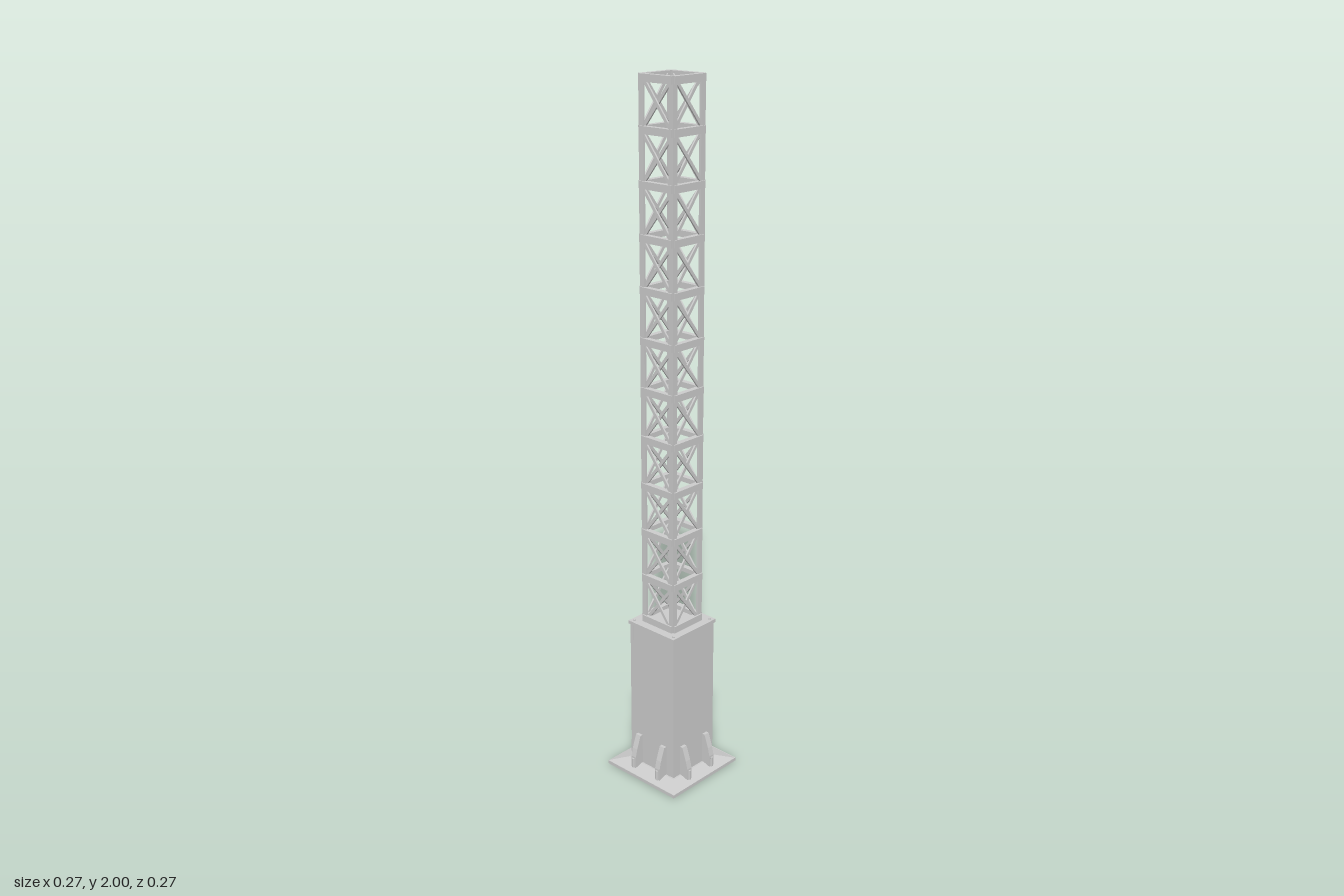
import * as THREE from 'three';

const mat = new THREE.MeshStandardMaterial({ color: 0xcccccc, flatShading: true });

function add(parent, name, geo, x = 0, y = 0, z = 0) {
  const m = new THREE.Mesh(geo, mat);
  m.name = name;
  m.position.set(x, y, z);
  parent.add(m);
  return m;
}

function box(parent, name, w, h, d, x, y, z) {
  return add(parent, name, new THREE.BoxGeometry(w, h, d), x, y, z);
}

// Extrudes a closed outline by a depth along z
function extrude(points, depth) {
  const shape = new THREE.Shape(points.map(([x, y]) => new THREE.Vector2(x, y)));
  return new THREE.ExtrudeGeometry(shape, { depth, bevelEnabled: false });
}

// Runs a builder once for each of the four sides, built facing +z
function fourSides(parent, name, build) {
  for (let i = 0; i < 4; i++) {
    const side = new THREE.Group();
    side.name = name + (i + 1);
    side.rotation.y = i * Math.PI / 2;
    build(side);
    parent.add(side);
  }
}

export function createModel() {
  const model = new THREE.Group();
  model.name = 'latticeTower';

  // Ground plate with a shallow sloping top
  const base = new THREE.Group();
  base.name = 'base';
  model.add(base);
  box(base, 'basePlate', 0.266, 0.01, 0.27, 0, 0.005, 0);
  const slope = new THREE.CylinderGeometry(0.09 * Math.SQRT2, 0.133 * Math.SQRT2, 0.012, 4);
  slope.rotateY(Math.PI / 4);
  add(base, 'baseSlope', slope, 0, 0.016, 0);

  // Pedestal: four overlapping panels and two gussets on each side
  const pedestal = new THREE.Group();
  pedestal.name = 'pedestal';
  model.add(pedestal);
  const gusset = extrude([[0.08, 0.012], [0.115, 0.012], [0.114, 0.05], [0.108, 0.075], [0.094, 0.115], [0.08, 0.115]], 0.018);
  gusset.translate(0, 0, -0.009);
  gusset.rotateY(-Math.PI / 2);
  fourSides(pedestal, 'pedestalSide', side => {
    box(side, 'panel', 0.157, 0.45, 0.012, -0.0055, 0.24, 0.079);
    for (const x of [-0.048, 0.048]) {
      add(side, 'gusset', gusset, x, 0, 0);
      const anchor = new THREE.CylinderGeometry(0.004, 0.004, 0.03, 8);
      add(side, 'anchorBolt', anchor, x, 0.03, 0.115);
    }
    add(side, 'capBolt', new THREE.CylinderGeometry(0.004, 0.004, 0.01, 8), -0.076, 0.473, 0.077);
  });
  box(pedestal, 'capPlate', 0.176, 0.01, 0.178, 0, 0.47, 0);
  for (const s of [-1, 1]) box(pedestal, 'capTab', 0.006, 0.05, 0.006, -s * 0.075, 0.442, s * 0.085);

  // Mast: angle legs, horizontal frames and crossed braces
  const mast = new THREE.Group();
  mast.name = 'mast';
  model.add(mast);
  const bottom = 0.475, top = 2, panels = 11;
  const step = (top - bottom) / panels;

  const legGeo = extrude([[0.06, 0.06], [0.044, 0.06], [0.044, 0.054], [0.054, 0.054], [0.054, 0.044], [0.06, 0.044]], top - bottom);
  const barGeo = extrude([[0.064, -0.01], [0.064, 0.01], [0.048, 0.01], [0.048, 0.005], [0.058, 0.005], [0.058, -0.01]], 0.114);
  barGeo.translate(0, 0, -0.057);
  barGeo.rotateY(-Math.PI / 2);
  const braceH = step - 0.02;
  const braceGeo = new THREE.BoxGeometry(0.009, Math.hypot(0.094, braceH), 0.005);

  fourSides(mast, 'mastSide', side => {
    const leg = add(side, 'leg', legGeo, 0, top, 0);
    leg.rotation.x = Math.PI / 2;
    for (let i = 0; i <= panels; i++) {
      const y = Math.min(Math.max(bottom + i * step, bottom + 0.01), top - 0.01);
      add(side, 'horizontalBar', barGeo, 0, y, 0);
    }
    for (let i = 0; i < panels; i++) {
      for (const s of [-1, 1]) {
        const brace = add(side, 'diagonalBrace', braceGeo, 0, bottom + (i + 0.5) * step, 0.054 + s * 0.0025);
        brace.rotation.z = s * Math.atan2(0.094, braceH);
      }
    }
  });

  return model;
}
